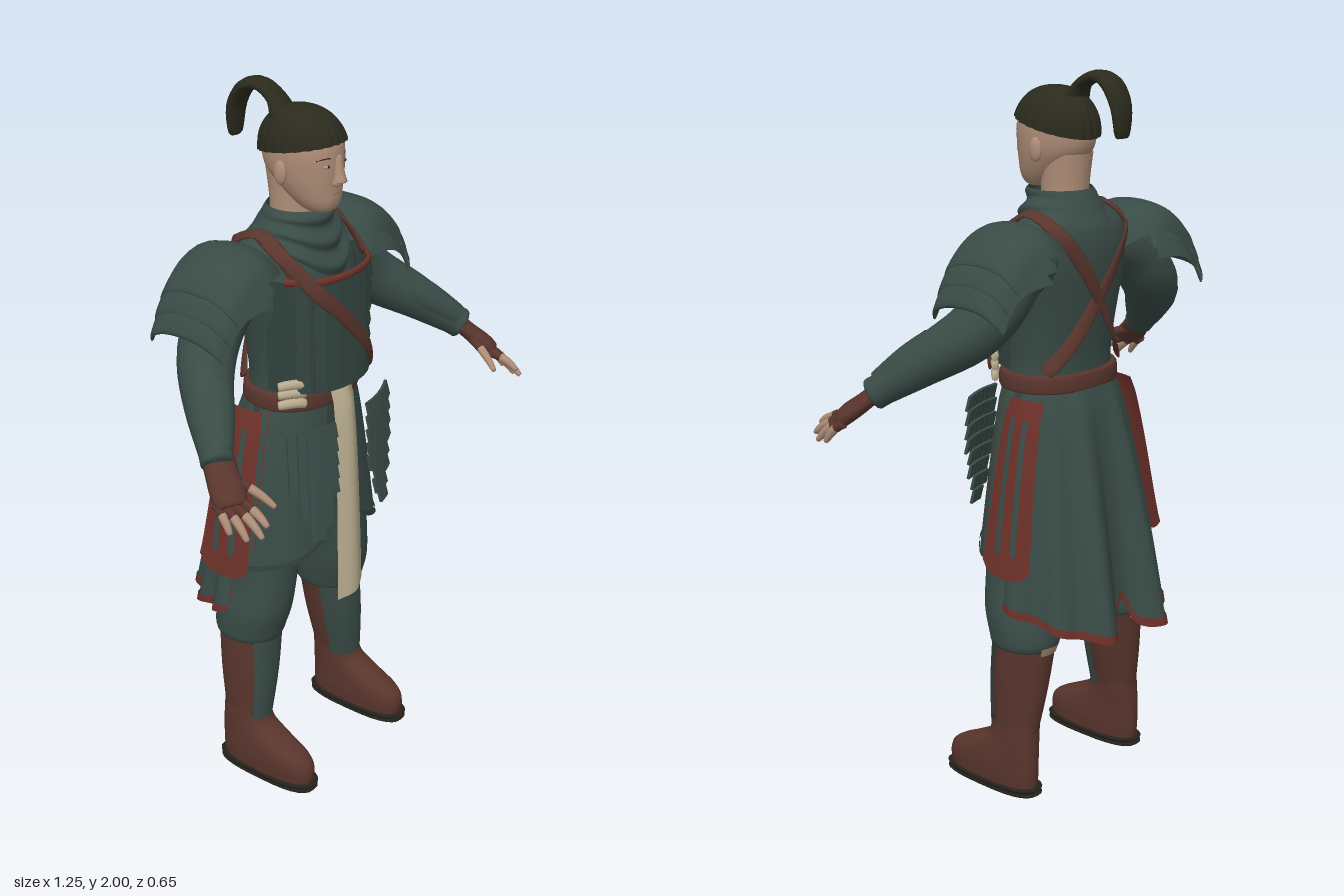
import * as THREE from 'three';
import { mergeVertices, mergeGeometries } from 'three/addons/utils/BufferGeometryUtils.js';

const mat = (name, color) => new THREE.MeshStandardMaterial({ name, color, side: THREE.DoubleSide });
const { sin, cos, abs, max, min, sqrt, exp, PI, sign } = Math;

export function createModel() {
  const root = new THREE.Group();
  root.name = 'warrior';
  const teal = mat('teal cloth', 0x394b46), dark = mat('dark teal armour', 0x31423d);
  const brown = mat('brown leather', 0x59352d), red = mat('red cloth', 0x6c3029);
  const cream = mat('cream cloth', 0xb8ac8e), skin = mat('skin', 0xae8d77), lip = mat('lips', 0x946c5b);
  const hair = mat('dark hair', 0x2b2a1d), white = mat('eye white', 0xa89c90), sole = mat('sole', 0x25221b);

  const add = (parent, name, geo, m, x = 0, y = 0, z = 0) => {
    const mesh = new THREE.Mesh(geo, m);
    mesh.name = name;
    mesh.position.set(x, y, z);
    parent.add(mesh);
    return mesh;
  };

  // Smooth interpolation through rows of numbers
  const spl = (rows, t) => {
    const n = rows.length - 1, x = min(max(t, 0), 1) * n, i = min(Math.floor(x), n - 1), f = x - i;
    const A = rows[max(i - 1, 0)], B = rows[i], C = rows[i + 1], D = rows[min(i + 2, n)];
    return B.map((b, k) => 0.5 * (2 * b + (C[k] - A[k]) * f + (2 * A[k] - 5 * b + 4 * C[k] - D[k]) * f * f
      + (3 * b - A[k] - 3 * C[k] + D[k]) * f * f * f));
  };

  // Grid surface from a rule f(u, v) -> [x, y, z]
  const sheet = (parent, name, m, nu, nv, f) => {
    const pos = [], idx = [], w = nu + 1;
    for (let j = 0; j <= nv; j++) for (let i = 0; i <= nu; i++) pos.push(...f(i / nu, j / nv));
    for (let j = 0; j < nv; j++) for (let i = 0; i < nu; i++) {
      const a = j * w + i;
      idx.push(a, a + 1, a + w, a + 1, a + w + 1, a + w);
    }
    let g = new THREE.BufferGeometry();
    g.setAttribute('position', new THREE.Float32BufferAttribute(pos, 3));
    g.setIndex(idx);
    g = mergeVertices(g, 1e-5);
    g.computeVertexNormals();
    return add(parent, name, g, m);
  };

  // Stacked oval rings: rows of [y, cx, cz, rx, rz], a0..a1 measured from the front
  const loft = (parent, name, m, rows, power = 2, a0 = -PI, a1 = PI, seg = 28) =>
    sheet(parent, name, m, seg, (rows.length - 1) * 4, (u, v) => {
      const [y, cx, cz, rx, rz] = spl(rows, v), a = a0 + (a1 - a0) * u, e = 2 / power;
      const s = u === 1 && a1 === PI ? 0 : sin(a), c = cos(a);
      return [cx + rx * sign(s) * abs(s) ** e, y, cz + rz * sign(c) * abs(c) ** e];
    });

  // Tube with varying radius: rows of [x, y, z, r]; thickness along ref is scaled by flat
  const limb = (parent, name, m, rows, flat = 1, ref = () => [1, 1, 0], seg = 12) =>
    sheet(parent, name, m, seg, (rows.length - 1) * 4, (u, v) => {
      const p = spl(rows, v), q0 = spl(rows, v - 0.03), q1 = spl(rows, v + 0.03);
      const t = new THREE.Vector3(q1[0] - q0[0], q1[1] - q0[1], q1[2] - q0[2]).normalize();
      const n = new THREE.Vector3(...ref(p));
      n.addScaledVector(t, -t.dot(n)).normalize();
      const b = t.clone().cross(n), a = (u % 1) * 2 * PI;
      n.multiplyScalar(p[3] * flat * sin(a)).addScaledVector(b, p[3] * cos(a));
      return [p[0] + n.x, p[1] + n.y, p[2] + n.z];
    });
  const outward = p => [p[0], 0.02 + 8 * max(0, p[1] - 1.58), p[2] + 0.05];
  const capped = rows => [[...rows[0].slice(0, 3), 0.001], ...rows, [...rows[rows.length - 1].slice(0, 3), 0.001]];

  // Head, hair and topknot
  const head = new THREE.Group();
  head.name = 'head';
  root.add(head);
  loft(head, 'skull', skin, [[1.678, 0, 0.035, 0.002, 0.002], [1.684, 0, 0.035, 0.035, 0.04], [1.71, 0, 0.022, 0.058, 0.068],
    [1.75, 0, 0, 0.075, 0.093], [1.79, 0, -0.016, 0.085, 0.112], [1.84, 0, -0.02, 0.088, 0.117],
    [1.88, 0, -0.02, 0.08, 0.108], [1.915, 0, -0.02, 0.05, 0.07], [1.925, 0, -0.02, 0.002, 0.002]], 2.1);
  loft(head, 'neck', skin, [[1.6, 0, -0.05, 0.07, 0.07], [1.68, 0, -0.05, 0.062, 0.066], [1.78, 0, -0.055, 0.065, 0.075]]);
  sheet(head, 'hair', hair, 120, 12, (u, v) => {
    const a = (u % 1) * 2 * PI, e0 = 0.09 + 0.23 * cos(a), e = e0 + (PI / 2 - e0) * v;
    const k = 1 + 0.045 * abs(sin(a * 12)) * cos(e), c = cos(e) ** 0.85;
    return [0.094 * k * c * sin(a), 1.835 + 0.115 * sin(e), -0.02 + 0.126 * k * c * cos(a)];
  });
  limb(head, 'topknot', hair, capped([[-0.01, 1.91, -0.075, 0.022], [-0.01, 1.955, -0.1, 0.017], [-0.01, 1.982, -0.15, 0.016],
    [-0.01, 1.967, -0.2, 0.019], [-0.01, 1.91, -0.233, 0.018], [-0.01, 1.835, -0.238, 0.012]]), 2.1, () => [1, 0, 0]);
  limb(head, 'nose', skin, capped([[0, 1.835, 0.088, 0.013], [0, 1.79, 0.096, 0.016], [0, 1.768, 0.098, 0.02]]), 1, () => [0, 0, 1]);
  const ball = (p, name, m, x, y, z, sx, sy, sz) => add(p, name, new THREE.SphereGeometry(1, 14, 10), m, x, y, z).scale.set(sx, sy, sz);
  ball(head, 'upperLip', lip, 0, 1.737, 0.084, 0.024, 0.004, 0.01);
  ball(head, 'lowerLip', lip, 0, 1.729, 0.08, 0.02, 0.005, 0.01);

  // Torso, scarf, belt
  loft(root, 'torso', teal, [[0.98, 0, -0.04, 0.15, 0.11], [1.16, 0, -0.03, 0.16, 0.115], [1.25, 0, -0.03, 0.16, 0.118],
    [1.38, 0, -0.035, 0.177, 0.13], [1.5, 0, -0.05, 0.2, 0.125], [1.58, 0, -0.065, 0.19, 0.1],
    [1.63, 0, -0.06, 0.12, 0.08], [1.66, 0, -0.05, 0.07, 0.07]], 2.2);
  sheet(root, 'scarf', teal, 40, 24, (u, v) => {
    const a = (u % 1) * 2 * PI, f = max(0, cos(a - 0.15)) ** 2, r = 0.004 * (1 + cos(a)) * sin(v * 17 + sin(a));
    return [(0.085 + 0.06 * v + r) * sin(a), 1.685 - 0.09 * v - 0.09 * v * f, -0.035 + (0.085 + 0.05 * v + r) * cos(a)];
  });
  loft(root, 'belt', brown, [[1.15, 0, -0.027, 0.168, 0.128], [1.155, 0, -0.027, 0.178, 0.136],
    [1.195, 0, -0.027, 0.176, 0.134], [1.2, 0, -0.027, 0.162, 0.12]], 2.2);

  // Breastplate with rows of small overlapping plates
  const bz = x => -0.03 + 0.17 * max(0, 1 - abs(x / 0.182) ** 2.2) ** 0.45;
  sheet(root, 'breastplate', dark, 28, 6, (u, v) => {
    const x = 0.181 * sin((u - 0.5) * 3.1);
    return [x * (1 - 0.07 * v), 1.53 - 0.32 * v, bz(x)];
  });
  const plates = [];
  for (let r = 0; r < 7; r++) for (let c = -4; c <= 4; c++) {
    const x = c * 0.036, g = new THREE.BoxGeometry(0.034, 0.045, 0.007);
    g.rotateX(-0.16);
    g.rotateY(-Math.atan2(bz(x + 0.01) - bz(x - 0.01), 0.02));
    plates.push(g.translate(x * (1 - 0.01 * r), 1.5 - r * 0.044, bz(x) + 0.005));
  }
  add(root, 'breastplateScales', mergeGeometries(plates), dark);
  limb(root, 'breastplateTrim', red, [-0.168, -0.1, 0, 0.1, 0.168].map(x => [x, 1.53, bz(x) + 0.003, 0.01]), 0.7, outward);
  limb(root, 'chestStrap', brown, capped([[-0.142, 1.632, -0.05, 0.02], [-0.15, 1.58, 0.045, 0.02],
    ...[-0.12, -0.06, 0, 0.06, 0.12, 0.158].map(x => [x, 1.375 - x * 1.08, bz(x) + 0.014, 0.021])]), 0.3, outward);

  // Cream hanging cloth
  sheet(root, 'frontCloth', cream, 12, 16, (u, v) => {
    const s = u * 2 - 1;
    return [-0.005 - 0.013 * v + s * (0.043 + 0.012 * v), 1.2 - (0.61 + 0.025 * (1 - u)) * v,
      0.118 + 0.05 * sqrt(v) + 0.014 * cos(s * 2.2)];
  });

  // Pleated back skirt with centre slit, red hem and lining
  const flare = v => 0.17 + 0.1 * v ** 0.7;
  const skirt = (v, u, off) => {
    const a = (u - 0.5) * 2.8, w = v ** 0.75, s2 = sin(a) ** 2;
    const r = 0.013 * w * cos(a * 15) + off, mid = exp(-((a / 0.19) ** 2));
    return [(flare(v) + 0.015 * v + r) * sin(a), 1.16 - 0.68 * v + v * (0.08 * s2 * s2 + 0.09 * mid ** 3 + 0.015 * sin(a)),
      -0.03 - (0.13 + 0.19 * w * (1 - 0.33 * s2) + r) * cos(a) + 0.105 * w * mid];
  };
  sheet(root, 'backSkirt', teal, 84, 16, (u, v) => skirt(v, u, 0));
  sheet(root, 'skirtHem', red, 84, 2, (u, v) => skirt(0.97 + 0.035 * v, u, 0.004));
  sheet(root, 'skirtLining', red, 84, 3, (u, v) => skirt(0.9 + 0.105 * v, u, -0.004));
  for (const u0 of [0, 0.95])
    sheet(root, 'skirtSideLining', red, 4, 6, (u, v) => skirt(0.7 + 0.3 * v, u0 + 0.05 * u, -0.004));

  for (const side of [1, -1]) {
    const g = new THREE.Group();
    g.name = side > 0 ? 'leftSide' : 'rightSide';
    g.scale.x = side;
    root.add(g);

    // Face details and ear
    ball(g, 'eye', white, 0.034, 1.815, 0.082, 0.013, 0.0045, 0.009);
    ball(g, 'iris', hair, 0.034, 1.815, 0.087, 0.005, 0.0045, 0.006);
    ball(g, 'nostril', skin, 0.012, 1.767, 0.095, 0.01, 0.008, 0.012);
    limb(g, 'eyebrow', hair, capped([[0.016, 1.832, 0.092, 0.002], [0.036, 1.837, 0.086, 0.003], [0.058, 1.832, 0.069, 0.002]]), 0.8, () => [0, 0, 1]);
    ball(g, 'ear', skin, 0.088, 1.79, -0.025, 0.012, 0.033, 0.02);

    // Sleeve, bracer, glove and fingers
    limb(g, 'sleeve', teal, [[0.14, 1.52, -0.075, 0.075], [0.235, 1.48, -0.08, 0.08], [0.3, 1.415, -0.08, 0.081], [0.365, 1.35, -0.05, 0.077],
      [0.45, 1.28, 0.03, 0.063], [0.52, 1.21, 0.11, 0.045], [0.54, 1.19, 0.135, 0.041], [0.541, 1.189, 0.136, 0.005]], 1, undefined, 18);
    limb(g, 'bracer', teal, [[0.425, 1.31, 0.015, 0.06], [0.47, 1.27, 0.065, 0.054], [0.525, 1.215, 0.12, 0.042]], 0.9, undefined, 18);
    const palm = () => [0.4, 0.7, 0.4];
    limb(g, 'glove', brown, capped([[0.53, 1.2, 0.125, 0.037], [0.552, 1.165, 0.16, 0.043], [0.572, 1.135, 0.195, 0.045], [0.584, 1.115, 0.215, 0.036]]), 0.55, palm);
    [[0.557, 1.118, 0.235, 0.565, 1.085, 0.312], [0.576, 1.114, 0.222, 0.585, 1.062, 0.312],
      [0.592, 1.112, 0.205, 0.605, 1.052, 0.28], [0.604, 1.112, 0.187, 0.617, 1.06, 0.235],
      [0.53, 1.155, 0.185, 0.497, 1.1, 0.28]].forEach(([x, y, z, X, Y, Z]) => {
      const at = (t, r) => [x + (X - x) * t, y + (Y - y) * t + 0.008 * sin(PI * t), z + (Z - z) * t, r];
      limb(g, 'gloveFinger', brown, capped([at(-0.15, 0.013), at(0.15, 0.013), at(0.35, 0.0125)]), 1, palm, 8);
      limb(g, 'fingertip', skin, capped([at(0.3, 0.0115), at(0.7, 0.011), at(1, 0.007)]), 1, palm, 8);
    });

    // Layered shoulder guard, lowest layer first: edge drop, half width, profile
    [[0.05, 0.122, [[0.24, 1.54], [0.335, 1.532], [0.39, 1.5], [0.425, 1.445]]],
      [0.053, 0.126, [[0.22, 1.575], [0.315, 1.568], [0.37, 1.537], [0.402, 1.49]]],
      [0.06, 0.13, [[0.125, 1.585], [0.22, 1.625], [0.305, 1.605], [0.37, 1.545]]]].forEach(([drop, w, p]) => {
      const rows = [...p, ...p.slice().reverse().map(([x, y]) => [x - 0.01, y - 0.012])];
      sheet(g, 'shoulderGuard', teal, 16, 28, (u, v) => {
        const s = u * 2 - 1, [x, y] = spl(rows, v), k = min(1, 0.62 + (x - 0.12) * 3.5);
        return [x - 0.02 * s ** 4, y - drop * abs(s) ** 2.2, -0.08 + w * sin(s * 1.3) / sin(1.3) * k];
      });
    });

    // Shoulder and back straps
    limb(g, 'shoulderStrap', brown, capped([[0.135, 1.53, 0.075, 0.02], [0.142, 1.575, 0.035, 0.02], [0.142, 1.632, -0.05, 0.02],
      [0.13, 1.585, -0.15, 0.02], [0.07, 1.5, -0.177, 0.02], [0, 1.4, -0.172, 0.02], [-0.08, 1.29, -0.152, 0.02], [-0.14, 1.215, -0.115, 0.02]]), 0.3, outward);
    for (const y of [1.18, 1.21, 1.235])
      limb(g, 'beltKnot', cream, capped([[0.125, y, 0.085, 0.013], [0.15, y + 0.005, 0.07, 0.014], [0.18, y, 0.04, 0.012]]), 0.8, outward, 8);

    // Front skirt panel with trim
    const panel = (u, v, off) => {
      const a = 0.28 + 1.3 * u, k = 1 + 0.012 * cos(a * 9) * v;
      return [(flare(v) + off) * sin(a) * k, 1.16 - (0.46 - 0.07 * (1 - u) ** 4) * v, -0.028 + (0.132 + 0.03 * v + off) * cos(a) * k];
    };
    sheet(g, 'frontPanel', teal, 20, 10, (u, v) => panel(u, v, 0));
    sheet(g, 'frontPanelHem', dark, 20, 1, (u, v) => panel(u, 0.97 + 0.035 * v, 0.004));
    sheet(g, 'frontPanelTrim', red, 1, 10, (u, v) => panel(0.79 + 0.02 * u, v * 0.85, 0.004));

    // Hanging scale guard
    const scales = [];
    [5, 7, 8, 8, 6, 4].forEach((n, c) => {
      for (let r = 0; r < n; r++) {
        const x = 0.083 + c * 0.026, s = new THREE.BoxGeometry(0.025, 0.043, 0.008);
        s.rotateX(-0.25);
        s.rotateY((x - 0.05) * 3);
        scales.push(s.translate(x, 1.1 - r * 0.041, 0.147 - 1.7 * (x - 0.06) ** 2 + 0.002 * r));
      }
    });
    add(g, 'scaleGuard', mergeGeometries(scales), teal);

    // Red side panel with teal stripes
    const flap = (u, v, off) => {
      const s = u * 2 - 1, w = 0.062 + 0.024 * v;
      return [flare(v) + off + 0.012 * (1 - s * s), 1.14 - 0.48 * v + 0.035 * v ** 6 * s ** 4, -0.075 - 0.01 * v - w * s];
    };
    sheet(g, 'sidePanel', red, 12, 12, (u, v) => flap(u, v, 0.006));
    for (const [a, b] of [[0.28, 0.4], [0.62, 0.74]])
      sheet(g, 'sideStripe', teal, 2, 10, (u, v) => flap(a + (b - a) * u, 0.1 + 0.76 * v, 0.01));

    // Baggy trouser leg, bare patch behind the knee, boot shaft and greave
    loft(g, 'trouserLeg', teal, [[1.1, 0.085, -0.035, 0.085, 0.1], [0.9, 0.12, -0.03, 0.105, 0.11], [0.72, 0.15, -0.035, 0.1, 0.1],
      [0.62, 0.165, -0.037, 0.094, 0.1], [0.54, 0.176, -0.053, 0.098, 0.109], [0.48, 0.181, -0.066, 0.094, 0.106],
      [0.44, 0.184, -0.07, 0.083, 0.094], [0.43, 0.184, -0.07, 0.04, 0.05]]);
    loft(g, 'kneeBack', skin, [[0.455, 0.184, -0.07, 0.094, 0.104], [0.43, 0.184, -0.07, 0.084, 0.095]], 2, 2.75, 3.45, 8);
    const shin = o => [[0.445, 0.184, -0.072, 0.078 + o, 0.088 + o], [0.32, 0.197, -0.066, 0.067 + o, 0.084 + o], [0.18, 0.212, -0.06, 0.048 + o, 0.07 + o]];
    loft(g, 'bootShaft', brown, shin(0));
    loft(g, 'greave', teal, shin(0.007), 2.2, -1.3, 0.8);
    loft(g, 'bootCuff', dark, [[0.215, 0.209, -0.061, 0.058, 0.077], [0.195, 0.211, -0.061, 0.057, 0.077]], 2, -1.4, 0.9);

    // Boot and sole
    loft(g, 'boot', brown, [[0.02, 0.216, 0.022, 0.052, 0.154], [0.06, 0.216, 0.022, 0.056, 0.157], [0.095, 0.216, 0.012, 0.055, 0.147],
      [0.13, 0.215, -0.022, 0.052, 0.112], [0.165, 0.213, -0.052, 0.05, 0.08], [0.21, 0.21, -0.06, 0.05, 0.07]], 2.5);
    loft(g, 'sole', sole, [[0, 0.216, 0.022, 0.002, 0.002], [0.001, 0.216, 0.022, 0.054, 0.155], [0.012, 0.216, 0.022, 0.056, 0.157],
      [0.024, 0.216, 0.022, 0.055, 0.156], [0.025, 0.216, 0.022, 0.002, 0.002]], 2.8);
  }
  return root;
}
